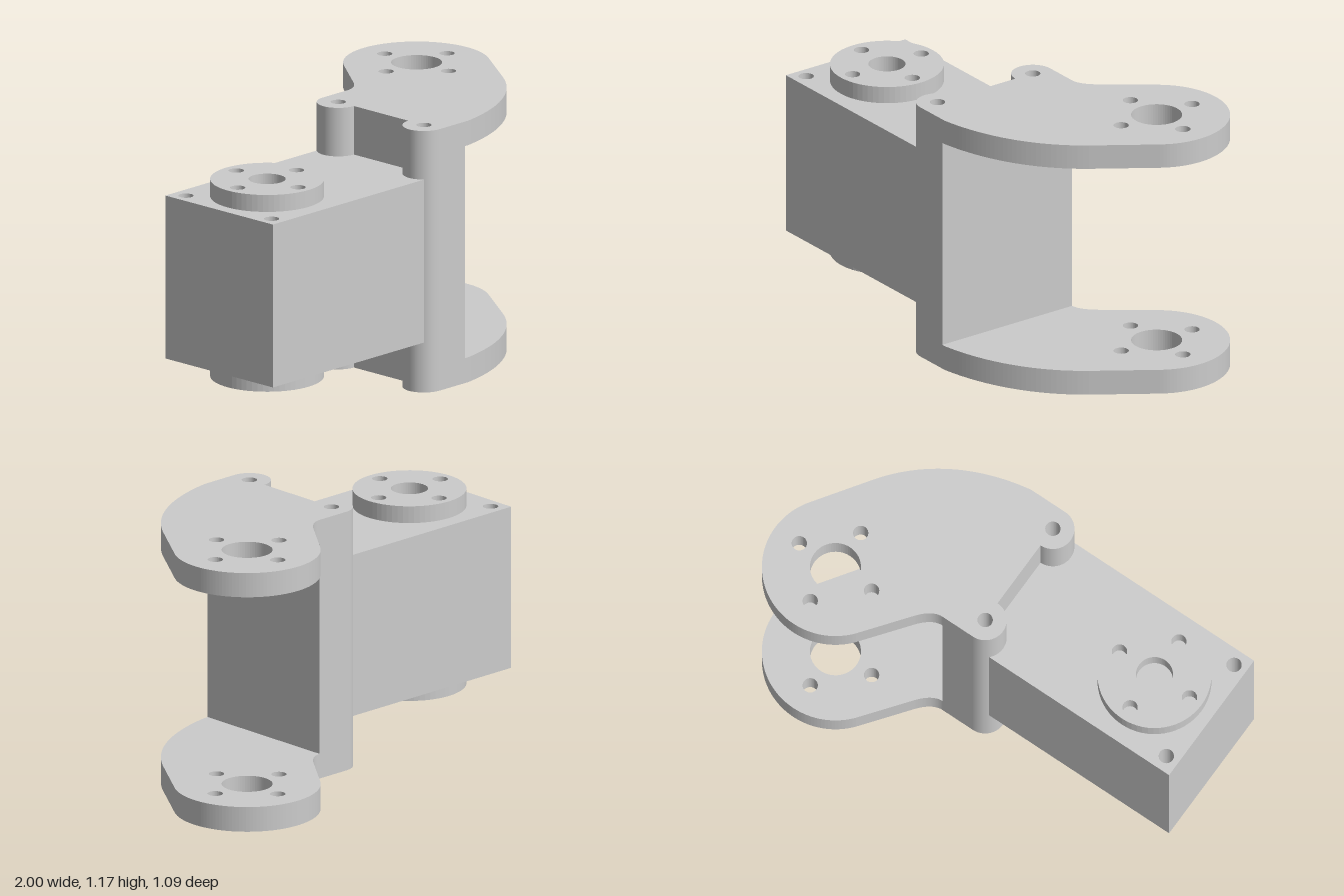
import * as THREE from 'three';

const material = new THREE.MeshStandardMaterial({ color: 0xcccccc, flatShading: true });
const LOBES = [[0.012, -0.06], [0.012, 0.45]]; // bolt bosses, as x, z
const LOBE_R = 0.093, BOLT_R = 0.033;
const PIVOT = [0.68, -0.23], HORN = [-0.7, 0.195];
const rad = THREE.MathUtils.degToRad;

function addHole(shape, [x, z], r) {
  shape.holes.push(new THREE.Path().absarc(x, z, r, 0, Math.PI * 2, true));
}

// Central bore with four bolt holes around it
function addHolePattern(shape, [x, z], bore, ring) {
  addHole(shape, [x, z], bore);
  for (let i = 0; i < 4; i++) {
    const a = i * Math.PI / 2;
    addHole(shape, [x + ring * Math.cos(a), z + ring * Math.sin(a)], BOLT_R);
  }
}

// Extrude an outline drawn in x, z between two heights
function slab(name, shape, y0, y1) {
  const g = new THREE.ExtrudeGeometry(shape, { depth: y1 - y0, bevelEnabled: false, curveSegments: 32 });
  g.rotateX(Math.PI / 2).translate(0, y1, 0);
  const mesh = new THREE.Mesh(g, material);
  mesh.name = name;
  return mesh;
}

// Shared start and end of the bracket outlines: the two bolt bosses
function bracketShape(drawOuter) {
  const s = new THREE.Shape();
  s.moveTo(LOBES[0][0], LOBES[0][1] + LOBE_R);
  s.absarc(...LOBES[0], LOBE_R, rad(90), rad(270), false);
  drawOuter(s);
  s.lineTo(LOBES[1][0], LOBES[1][1] + LOBE_R);
  s.absarc(...LOBES[1], LOBE_R, rad(90), rad(270), false);
  s.closePath();
  LOBES.forEach(p => addHole(s, p, BOLT_R));
  return s;
}

export function createModel() {
  const model = new THREE.Group();
  model.name = 'servoBracket';

  // Curved arms with a round pivot end
  const arm = bracketShape(s => {
    s.lineTo(0.17, -0.153);
    s.quadraticCurveTo(0.22, -0.153, 0.27, -0.215);
    s.absarc(...PIVOT, 0.317, rad(219), rad(394), false);
    s.lineTo(0.77, 0.2);
    s.bezierCurveTo(0.62, 0.41, 0.4, 0.51, 0.19, 0.543);
  });
  addHolePattern(arm, PIVOT, 0.11, 0.19);
  model.add(slab('lowerArm', arm, 0, 0.112), slab('upperArm', arm, 1.065, 1.175));

  // Upright web joining the arms
  const web = bracketShape(s => {
    s.lineTo(0.172, -0.153);
    s.lineTo(0.172, 0.543);
  });
  model.add(slab('web', web, 0.112, 1.065));

  // Servo body, stepped to sit between the bosses
  const body = new THREE.Shape();
  [[-1, -0.125], [-0.053, -0.125], [-0.053, 0.0], [0.012, 0.033],
    [0.012, 0.357], [-0.053, 0.39], [-0.053, 0.515], [-1, 0.515]]
    .forEach(([x, z], i) => (i ? body.lineTo(x, z) : body.moveTo(x, z)));
  body.closePath();
  LOBES.forEach(([, z]) => addHole(body, [-0.94, z], BOLT_R));
  model.add(slab('servoBody', body, 0.225, 0.957));

  // Round horns above and below the body
  const horn = new THREE.Shape().absarc(...HORN, 0.246, 0, Math.PI * 2, false);
  addHolePattern(horn, HORN, 0.08, 0.184);
  model.add(slab('lowerHorn', horn, 0.149, 0.225), slab('upperHorn', horn, 0.957, 1.033));

  return model;
}
